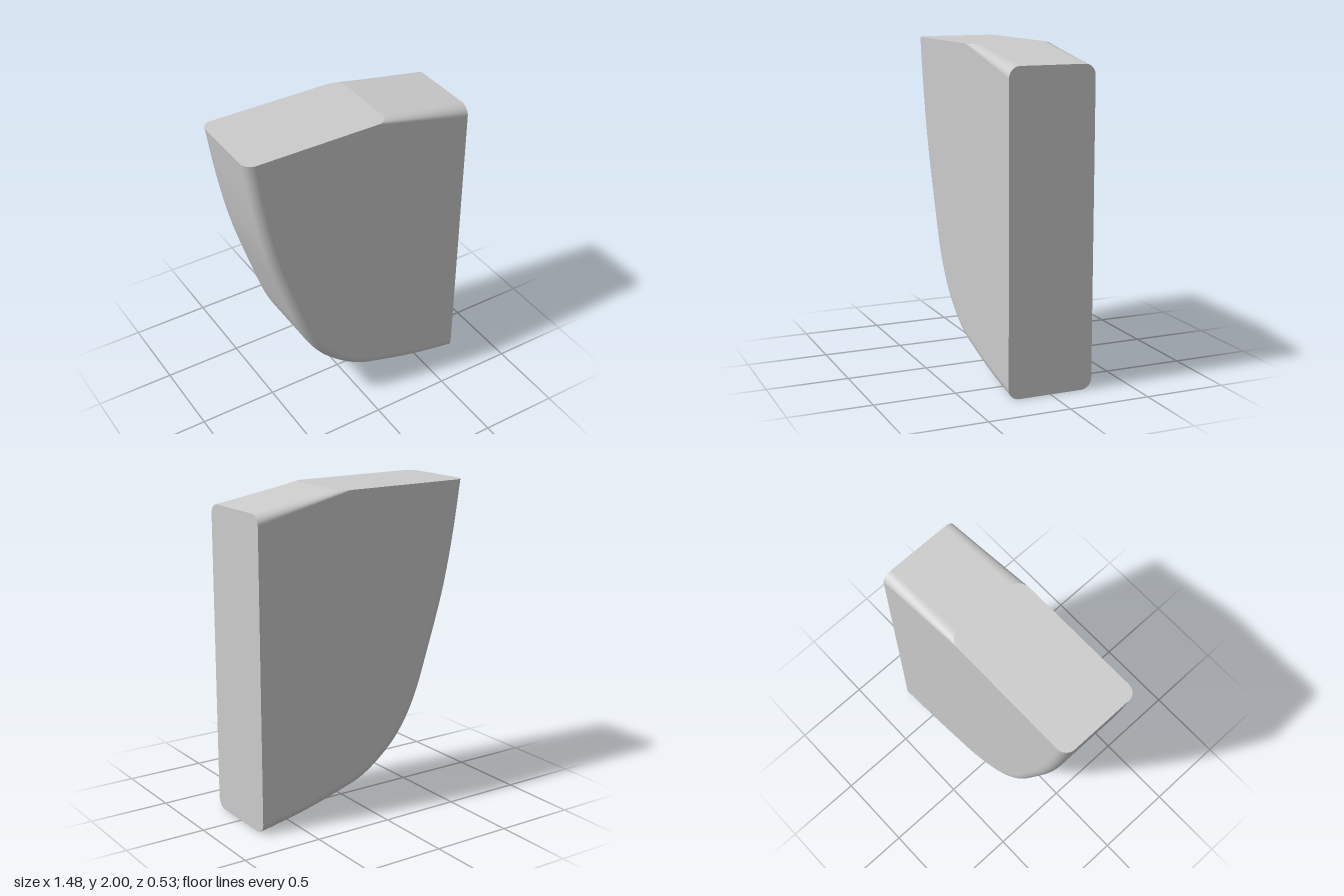
import * as THREE from 'three';

const R = 0.066;          // edge radius
const HALF = 0.266;       // half thickness
const RIGHT = 0.74, TOP = 2;

// Curved edge, from the top left corner down to the bottom right corner
const edge = new THREE.CatmullRomCurve3([
  [-0.74, 2], [-0.69, 1.67], [-0.62, 1.33], [-0.51, 0.96], [-0.4, 0.64], [-0.3, 0.46],
  [-0.19, 0.335], [0, 0.197], [0.2, 0.127], [0.45, 0.058], [RIGHT, 0],
].map(([x, y]) => new THREE.Vector3(x, y, 0)), false, 'centripetal');

const STEPS = 60, ARC = 10;

// Curved edge moved inward by d, kept on the flat top and the flat right side
function curveRow(d) {
  const row = [];
  for (let i = 0; i <= STEPS; i++) {
    const p = edge.getPoint(i / STEPS), t = edge.getTangent(i / STEPS);
    if (i === 0) row.push([p.x + d, TOP]);
    else if (i === STEPS) row.push([RIGHT, p.y + d]);
    else row.push([p.x - t.y * d, Math.min(TOP, p.y + t.x * d)]);
  }
  return row;
}

// Corners of the slope and the flat top at inset d
const slopeLow = (d) => [RIGHT, 1.912 - d];
const slopeHigh = (d) => [0.18 - 1.2 * d, TOP];

const rows = {
  curvedEdge: curveRow,
  rightFace: (d) => [[RIGHT, d], slopeLow(d)],
  slopedTop: (d) => [slopeLow(d), slopeHigh(d)],
  flatTop: (d) => [slopeHigh(d), [-0.74 + d, TOP]],
};

// Layers through the thickness: quarter round, straight, quarter round
const layers = [];
for (let k = ARC; k >= 0; k--) {
  const a = (k / ARC) * Math.PI / 2;
  layers.push({ z: -(HALF - R + R * Math.sin(a)), d: R * (1 - Math.cos(a)) });
}
layers.push(...layers.map(({ z, d }) => ({ z: -z, d })).reverse());

// Surface strip joining one row of points per layer
function strip(rowAt) {
  const pos = [], index = [];
  const n = rowAt(0).length;
  layers.forEach(({ z, d }, j) => {
    rowAt(d).forEach(([x, y], i) => {
      pos.push(x, y, z);
      if (j < layers.length - 1 && i < n - 1) {
        const a = j * n + i, b = a + 1, c = a + n, e = c + 1;
        index.push(a, b, c, b, e, c);
      }
    });
  });
  const geo = new THREE.BufferGeometry();
  geo.setAttribute('position', new THREE.Float32BufferAttribute(pos, 3));
  geo.setIndex(index);
  geo.computeVertexNormals();
  return geo;
}

export function createModel() {
  const group = new THREE.Group();
  group.name = 'roundedBlock';
  const material = new THREE.MeshStandardMaterial({ color: 0xcccccc });
  const add = (name, geo) => {
    const mesh = new THREE.Mesh(geo, material);
    mesh.name = name;
    group.add(mesh);
    return mesh;
  };

  // Walls around the outline
  for (const [name, rowAt] of Object.entries(rows)) add(name, strip(rowAt));

  // Flat front and back faces
  const outline = [...curveRow(R), slopeLow(R), slopeHigh(R)].map(([x, y]) => new THREE.Vector2(x, y));
  const front = new THREE.ShapeGeometry(new THREE.Shape(outline));
  add('frontFace', front).position.z = HALF;
  const back = new THREE.ShapeGeometry(new THREE.Shape(outline.map((p) => new THREE.Vector2(-p.x, p.y))));
  const backMesh = add('backFace', back);
  backMesh.rotation.y = Math.PI;
  backMesh.position.z = -HALF;

  return group;
}
